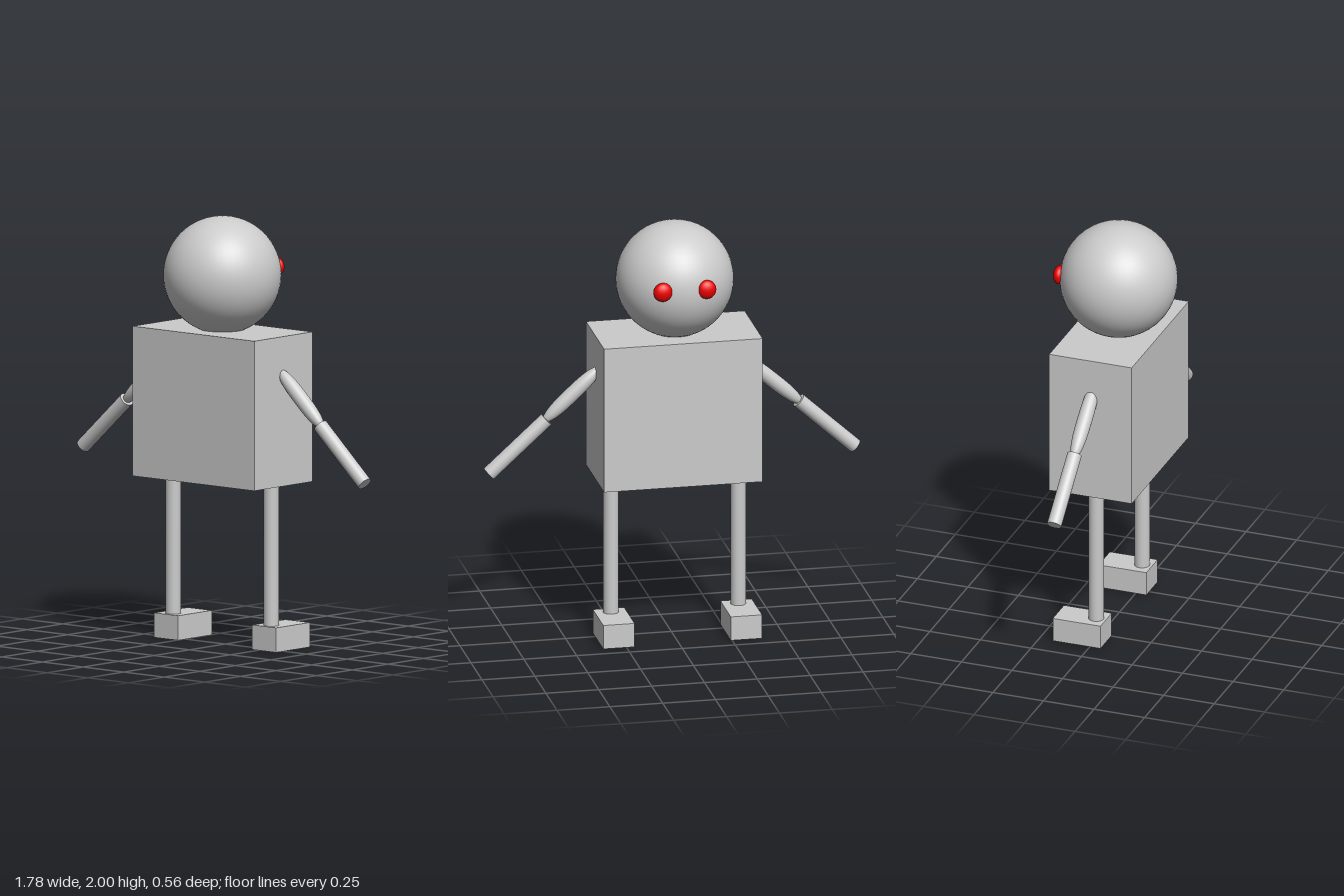
import * as THREE from 'three';

export function createModel() {
  const model = new THREE.Group();
  model.name = 'robot';
  const grey = new THREE.MeshStandardMaterial({ color: 0xcccccc });
  const red = new THREE.MeshStandardMaterial({ color: 0xee0000 });
  const UP = new THREE.Vector3(0, 1, 0);

  const add = (name, geometry, x, y, z, material = grey) => {
    const mesh = new THREE.Mesh(geometry, material);
    mesh.name = name;
    mesh.position.set(x, y, z);
    model.add(mesh);
    return mesh;
  };

  // Places a part of unit-independent length between two points in the z = 0 plane
  const limb = (name, a, b, makeGeometry) => {
    const start = new THREE.Vector3(a[0], a[1], 0.004);
    const end = new THREE.Vector3(b[0], b[1], 0.004);
    const dir = end.clone().sub(start);
    const mid = start.clone().lerp(end, 0.5);
    const mesh = add(name, makeGeometry(dir.length()), mid.x, mid.y, mid.z);
    mesh.quaternion.setFromUnitVectors(UP, dir.normalize());
  };

  // Upper arm: a full rod with softly tapering ends
  const upperArm = (length) => {
    const points = [];
    for (let i = 0; i <= 24; i++) {
      const t = -Math.cos((i / 24) * Math.PI);
      const r = 0.035 * Math.pow(Math.max(0, 1 - Math.pow(Math.abs(t), 3)), 0.5);
      points.push(new THREE.Vector2(r, t * length / 2));
    }
    return new THREE.LatheGeometry(points, 32);
  };
  const forearm = (length) => new THREE.CylinderGeometry(0.034, 0.034, length, 32);

  // Head and torso
  add('head', new THREE.SphereGeometry(0.274, 48, 32), -0.016, 1.726, 0.002);
  add('torso', new THREE.BoxGeometry(0.75, 0.70, 0.408), -0.015, 1.122, 0.003);

  // Eyes, flattened against the face
  for (const [side, x] of [['right', -0.115], ['left', 0.092]]) {
    add(side + 'Eye', new THREE.SphereGeometry(0.045, 24, 16), x, 1.748, -0.252, red)
      .scale.set(1, 1, 0.64);
  }

  // Legs and feet
  for (const [side, x] of [['right', -0.317], ['left', 0.286]]) {
    add(side + 'Leg', new THREE.CylinderGeometry(0.036, 0.036, 0.68, 32), x, 0.45, 0.004);
    add(side + 'Foot', new THREE.BoxGeometry(0.148, 0.115, 0.236), x, 0.0575, -0.065);
  }

  // Arms
  limb('rightUpperArm', [-0.325, 1.33], [-0.62, 1.073], upperArm);
  limb('rightForearm', [-0.603, 1.088], [-0.87, 0.846], forearm);
  limb('leftUpperArm', [0.335, 1.315], [0.605, 1.067], upperArm);
  limb('leftForearm', [0.59, 1.077], [0.862, 0.83], forearm);

  return model;
}
